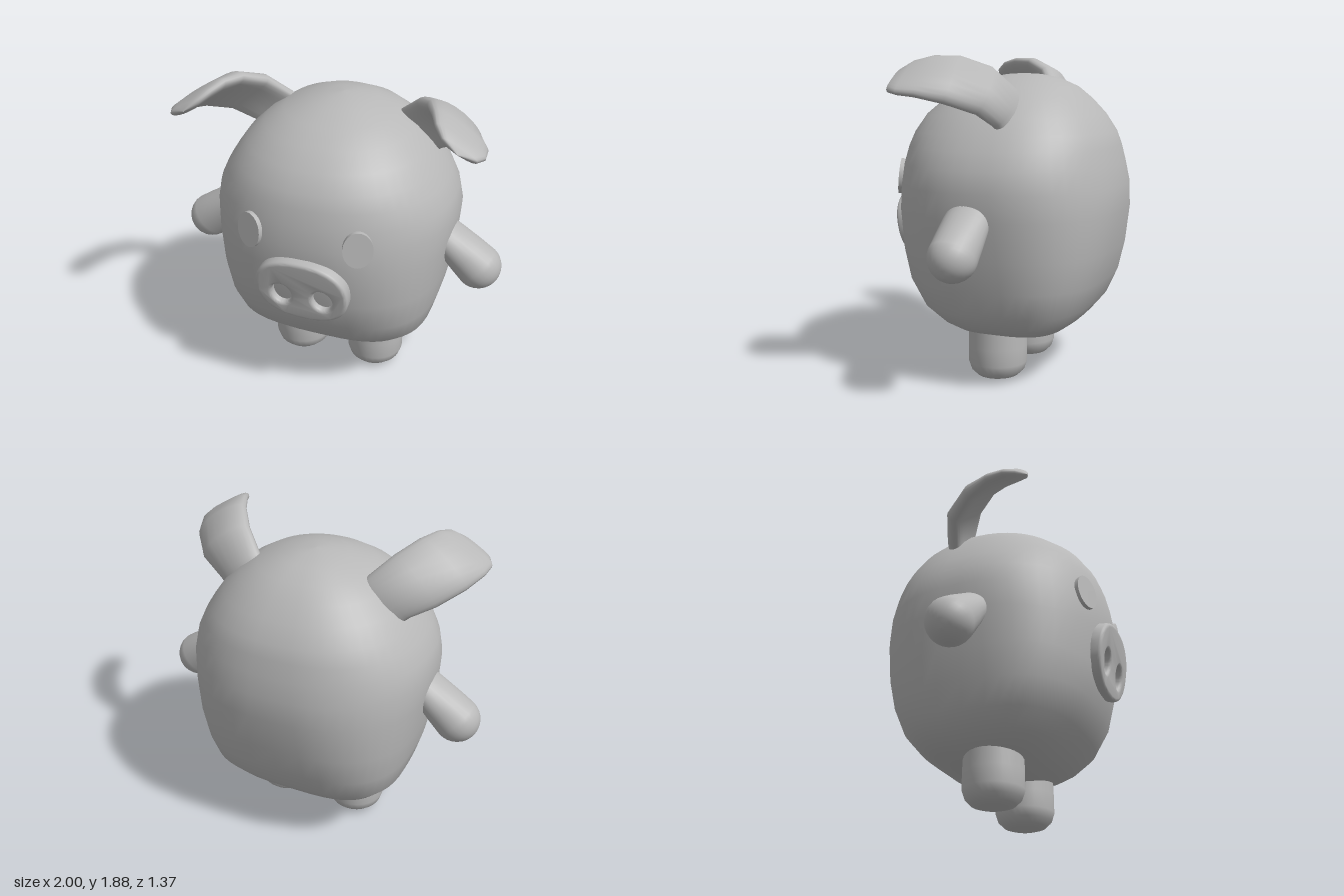
import * as THREE from 'three';
import { toCreasedNormals } from 'three/addons/utils/BufferGeometryUtils.js';

const grey = new THREE.MeshStandardMaterial({ color: 0xb8b8b8 });
grey.name = 'plain grey';

function add(group, name, geometry) {
  const mesh = new THREE.Mesh(geometry, grey);
  mesh.name = name;
  group.add(mesh);
  return mesh;
}

// Skin closed rings of points, given from one end of the part to the other
function loft(rings) {
  const n = rings[0].length;
  const index = [];
  for (let i = 0; i < rings.length - 1; i++) {
    for (let j = 0; j < n; j++) {
      const a = i * n + j, b = i * n + ((j + 1) % n), c = a + n, d = b + n;
      index.push(a, c, b, b, c, d);
    }
  }
  const geometry = new THREE.BufferGeometry().setFromPoints(rings.flat());
  geometry.setIndex(index);
  geometry.computeVertexNormals();
  return geometry;
}

// One closed ring of n points from a rule of the angle
const ringOf = (n, rule) => Array.from({ length: n }, (_, j) => rule((j / n) * Math.PI * 2));
const spow = (v, p) => Math.sign(v) * Math.abs(v) ** p;

// Body: superellipse sections as [y, half width, front z, back z], boxier low down and behind
function bodyGeometry() {
  const rows = [
    [0.24, 0.001, -0.03, -0.032], [0.248, 0.18, 0.1, -0.17], [0.272, 0.33, 0.2, -0.29],
    [0.303, 0.43, 0.275, -0.385], [0.355, 0.515, 0.35, -0.455], [0.45, 0.602, 0.455, -0.535],
    [0.6, 0.643, 0.55, -0.605], [0.78, 0.68, 0.6, -0.65], [1.0, 0.706, 0.635, -0.682],
    [1.15, 0.72, 0.638, -0.682], [1.27, 0.697, 0.62, -0.657], [1.37, 0.65, 0.597, -0.635],
    [1.45, 0.6, 0.567, -0.608], [1.55, 0.53, 0.5, -0.545], [1.64, 0.435, 0.395, -0.465],
    [1.71, 0.325, 0.28, -0.385], [1.76, 0.19, 0.14, -0.28], [1.782, 0.09, 0.03, -0.17],
    [1.788, 0.001, -0.07, -0.072],
  ];
  return loft(rows.map(([y, hx, zf, zb]) => {
    const n = THREE.MathUtils.mapLinear(THREE.MathUtils.clamp(y, 0.35, 1.15), 0.35, 1.15, 3.1, 2.15);
    return ringOf(48, (t) => {
      const s = Math.sin(t), p = 2 / (s < 0 ? n + 0.18 : n);
      return new THREE.Vector3(hx * spow(Math.cos(t), p), y,
        (zf + zb) / 2 + ((zf - zb) / 2) * spow(s, p));
    });
  }));
}

// Ear: thick curling leaf between an inner and an outer edge: [inner, outer, thickness, bulge]
function earGeometry(side) {
  const rows = [
    [[0.27, 1.63, -0.14], [0.5, 1.42, -0.14], 0.05, 0.02],
    [[0.335, 1.71, -0.12], [0.58, 1.505, -0.125], 0.055, 0.025],
    [[0.445, 1.815, -0.03], [0.715, 1.58, -0.08], 0.06, 0.03],
    [[0.535, 1.87, 0.1], [0.83, 1.64, 0.06], 0.055, 0.02],
    [[0.59, 1.875, 0.22], [0.89, 1.675, 0.2], 0.045, -0.005],
    [[0.63, 1.85, 0.315], [0.9, 1.685, 0.3], 0.036, -0.01],
    [[0.68, 1.805, 0.375], [0.87, 1.695, 0.365], 0.026, -0.005],
    [[0.769, 1.741, 0.4], [0.771, 1.739, 0.4], 0.001, 0],
  ].map(([a, b, th, bulge]) => {
    const A = new THREE.Vector3(...a), B = new THREE.Vector3(...b);
    return { mid: A.clone().lerp(B, 0.5), half: B.sub(A).multiplyScalar(0.5), th, bulge };
  });
  return loft(rows.map((r, i) => {
    const before = rows[Math.max(i - 1, 0)].mid;
    const after = rows[Math.min(i + 1, rows.length - 1)].mid;
    const normal = after.clone().sub(before).cross(r.half).normalize();
    const ring = ringOf(24, (t) => {
      const c = spow(Math.cos(t), 0.85);
      const p = r.mid.clone().addScaledVector(r.half, c)
        .addScaledVector(normal, r.bulge * (1 - c * c) - r.th * spow(Math.sin(t), 0.85));
      p.x *= side;
      return p;
    });
    return side > 0 ? ring : ring.reverse();
  }));
}

// Arm: round hand centred on the origin, flattening towards the shoulder: [y, in-plane radius, depth radius]
function armGeometry() {
  const rows = [];
  for (let i = 0; i <= 8; i++) {
    const t = (i / 8) * Math.PI / 2, r = 0.136 * Math.max(Math.sin(t), 0.005);
    rows.push([-0.136 * Math.cos(t), r, r]);
  }
  rows.push([0.1, 0.122, 0.136], [0.22, 0.1, 0.135], [0.36, 0.075, 0.125]);
  return loft(rows.map(([y, rx, rz]) =>
    ringOf(28, (t) => new THREE.Vector3(rx * Math.cos(t), y, rz * Math.sin(t)))));
}

// Snout: rounded plate pierced by two nostrils
function snoutGeometry() {
  const shape = new THREE.Shape(ringOf(48, (t) =>
    new THREE.Vector2(0.253 * spow(Math.cos(t), 0.85), 0.19 * spow(Math.sin(t), 0.85))));
  for (const side of [-1, 1]) {
    const hole = new THREE.Path();
    hole.absellipse(side * 0.122, -0.04, 0.08, 0.092, 0, Math.PI * 2, true);
    shape.holes.push(hole);
  }
  const geometry = new THREE.ExtrudeGeometry(shape, {
    depth: 0.08, bevelThickness: 0.02, bevelSize: 0.02, bevelSegments: 4, curveSegments: 24,
  });
  return toCreasedNormals(geometry, 0.7);
}

export function createModel() {
  const model = new THREE.Group();
  model.name = 'pig';

  add(model, 'body', bodyGeometry());

  const snout = add(model, 'snout', snoutGeometry());
  snout.position.set(0.003, 0.885, 0.553);
  snout.rotation.x = 0.17;

  // Rounded foot rising into the body
  const footProfile = [[0, 0], [0.08, 0.004], [0.125, 0.018], [0.158, 0.05],
    [0.175, 0.1], [0.174, 0.2], [0.168, 0.4]];
  const leg = new THREE.LatheGeometry(footProfile.map(([r, y]) => new THREE.Vector2(r, y)), 28);

  const arm = armGeometry();

  const eye = new THREE.CylinderGeometry(1, 1, 0.04, 32).rotateX(Math.PI / 2);
  eye.scale(0.084, 0.105, 1);

  for (const side of [1, -1]) {
    const label = side > 0 ? 'left' : 'right';
    add(model, label + 'Leg', leg).position.set(side * 0.247, 0, 0);

    const armMesh = add(model, label + 'Arm', arm);
    armMesh.position.set(side * 0.865, 0.838, 0);
    armMesh.rotation.z = side * 0.855;

    const eyeMesh = add(model, label + 'Eye', eye);
    eyeMesh.position.set(side * 0.312, 1.182, 0.578);
    eyeMesh.rotation.set(-0.1, side * 0.38, 0, 'YXZ');

    add(model, label + 'Ear', earGeometry(side));
  }
  return model;
}
